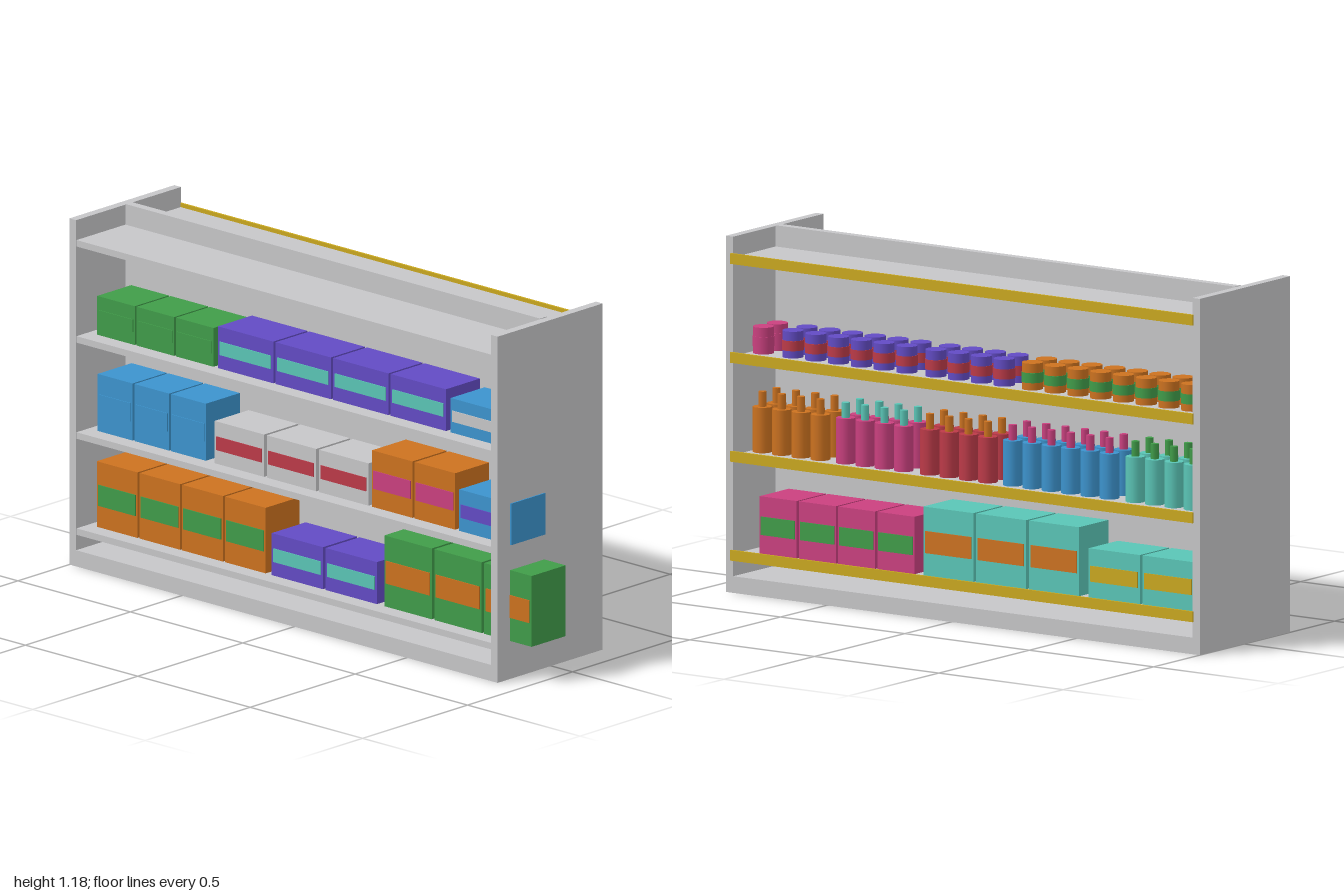
import * as THREE from 'three';

const paint = (name, color) => {
  const m = new THREE.MeshStandardMaterial({ color });
  m.name = name;
  return m;
};

export function createModel() {
  const model = new THREE.Group();
  model.name = 'storeShelf';
  const C = {
    grey: paint('grey', 0xc6c6c8),
    yellow: paint('yellow', 0xcaa81e),
    orange: paint('orange', 0xcc721f),
    green: paint('green', 0x409c49),
    teal: paint('teal', 0x5ac5b6),
    blue: paint('blue', 0x3c93cd),
    purple: paint('purple', 0x624bc4),
    pink: paint('pink', 0xca407f),
    red: paint('red', 0xbc3a48),
  };

  const group = (name) => {
    const g = new THREE.Group();
    g.name = name;
    model.add(g);
    return g;
  };

  // Box given by its minimum and maximum corners
  const box = (parent, name, mat, x0, x1, y0, y1, z0, z1) => {
    const mesh = new THREE.Mesh(new THREE.BoxGeometry(x1 - x0, y1 - y0, z1 - z0), mat);
    mesh.position.set((x0 + x1) / 2, (y0 + y1) / 2, (z0 + z1) / 2);
    mesh.name = name;
    parent.add(mesh);
  };

  // Upright cylinder standing on y0
  const can = (parent, name, mat, r, x, y0, y1, z, sides) => {
    const mesh = new THREE.Mesh(new THREE.CylinderGeometry(r, r, y1 - y0, sides), mat);
    mesh.position.set(x, (y0 + y1) / 2, z);
    mesh.name = name;
    parent.add(mesh);
  };

  // Frame: base, centre board and end panels
  const X0 = -0.255, X1 = 0.245, Z0 = -1, Z1 = 0.905, T = 0.03;
  const frame = group('frame');
  box(frame, 'base', C.grey, X0, X1, 0, 0.055, Z0 + T, Z1 - T);
  box(frame, 'centreBoard', C.grey, -0.02, 0.01, 0.055, 1.18, Z0 + T, Z1 - T);
  box(frame, 'backEndPanel', C.grey, X0, X1, 0, 1.178, Z0, Z0 + T);
  box(frame, 'frontEndPanel', C.grey, X0, X1, 0, 1.178, Z1 - T, Z1);

  // Shelves on both sides, with price rails on the left edge only
  const tops = [0.129, 0.456, 0.783, 1.11];
  const shelves = group('shelves');
  for (const y of tops) {
    box(shelves, 'rightShelf', C.grey, X0 + 0.002, -0.02, y - 0.022, y, Z0 + T, Z1 - T);
    box(shelves, 'leftShelf', C.grey, 0.01, 0.243, y - 0.022, y, Z0 + T, Z1 - T);
    box(shelves, 'priceRail', C.yellow, 0.243, 0.251, y - 0.022, y + 0.013, -0.975, 0.883);
  }

  // Row of cartons, each with a label band: [colour, band, first z, pitch, width, top, count]
  const cartons = (parent, shelf, x0, x1, rows) => {
    const y = tops[shelf];
    for (const [color, band, z, pitch, w, top, n] of rows) {
      const h = top - y;
      for (let i = 0; i < n; i++) {
        const a = z + i * pitch, b = a + w;
        box(parent, 'carton', C[color], x0, x1, y, top, a, b);
        box(parent, 'cartonBand', C[band], x0 - 0.003, x1 + 0.003,
          y + h * 0.33, y + h * 0.65, a + w * 0.04, b - w * 0.04);
      }
    }
  };

  cartons(group('leftCartons'), 0, 0.028, 0.19, [
    ['pink', 'green', 0.187, 0.1577, 0.149, 0.319, 4],
    ['teal', 'orange', -0.475, 0.2125, 0.201, 0.357, 3],
    ['teal', 'yellow', -0.936, 0.217, 0.206, 0.292, 2],
  ]);

  const right = group('rightCartons');
  cartons(right, 0, -0.195, -0.033, [
    ['orange', 'green', -0.934, 0.19, 0.181, 0.352, 4],
    ['purple', 'teal', -0.156, 0.24, 0.228, 0.272, 2],
    ['green', 'orange', 0.345, 0.222, 0.211, 0.37, 3],
  ]);
  cartons(right, 1, -0.195, -0.033, [
    ['blue', 'blue', -0.93, 0.163, 0.155, 0.65, 3],
    ['grey', 'red', -0.41, 0.232, 0.22, 0.6, 3],
    ['orange', 'pink', 0.29, 0.19, 0.18, 0.648, 2],
    ['blue', 'purple', 0.678, 0.232, 0.232, 0.597, 1],
  ]);
  cartons(right, 2, -0.195, -0.033, [
    ['green', 'green', -0.932, 0.175, 0.167, 0.915, 3],
    ['purple', 'teal', -0.395, 0.256, 0.246, 0.925, 4],
    ['blue', 'grey', 0.64, 0.192, 0.192, 0.9, 1],
  ]);

  // Bottles two deep: [body, cap, first z, count], running towards the back
  const bottles = group('bottles');
  for (const [body, cap, z, n] of [
    ['orange', 'orange', 0.834, 4],
    ['pink', 'teal', 0.499, 4],
    ['red', 'orange', 0.161, 4],
    ['blue', 'pink', -0.172, 6],
    ['teal', 'green', -0.665, 4],
  ]) {
    for (let i = 0; i < n; i++) {
      for (const x of [0.062, 0.14]) {
        can(bottles, 'bottleBody', C[body], 0.032, x, 0.456, 0.606, z - i * 0.0778, 10);
        can(bottles, 'bottleCap', C[cap], 0.0135, x, 0.606, 0.656, z - i * 0.0778, 8);
      }
    }
  }

  // Cans two deep with a label band: [body, band, first z, count]
  const cans = group('cans');
  for (const [body, band, z, n] of [
    ['pink', 'pink', 0.832, 1],
    ['purple', 'red', 0.713, 6],
    ['purple', 'red', 0.139, 4],
    ['orange', 'green', -0.249, 8],
  ]) {
    for (let i = 0; i < n; i++) {
      for (const x of [0.06, 0.137]) {
        can(cans, 'can', C[body], 0.035, x, 0.783, 0.871, z - i * 0.0915, 14);
        can(cans, 'canBand', C[band], 0.0365, x, 0.807, 0.84, z - i * 0.0915, 14);
      }
    }
  }

  return model;
}
